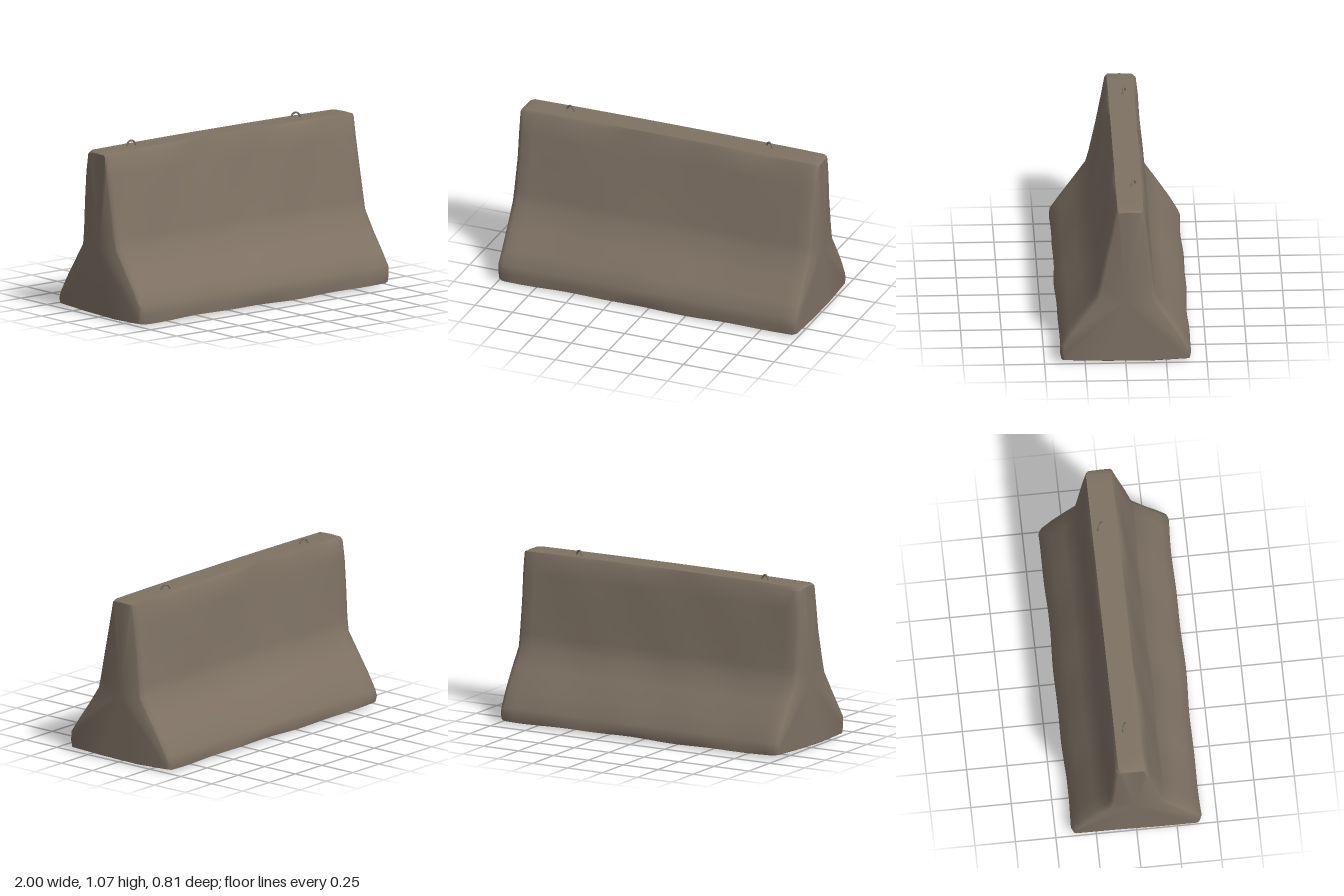
import * as THREE from 'three';
import { toCreasedNormals } from 'three/addons/utils/BufferGeometryUtils.js';

// Cross-section [z, y]: up the front, over the top, down the back, along the base
const PROFILE = [
  [0.395, 0.02], [0.402, 0.07], [0.398, 0.13], [0.345, 0.21], [0.265, 0.325], [0.182, 0.45], [0.165, 0.52],
  [0.125, 0.72], [0.09, 0.89], [0.062, 1.02], [0.05, 1.038],
  [-0.03, 1.04], [-0.11, 1.038], [-0.123, 1.015], [-0.138, 0.9], [-0.153, 0.72], [-0.171, 0.53], [-0.182, 0.44],
  [-0.255, 0.33], [-0.335, 0.205], [-0.39, 0.105], [-0.402, 0.065], [-0.395, 0.024],
  [-0.15, 0.012], [0.15, 0.012],
];

// Worn, slightly wavy surface
const wave = (x, y, s) =>
  0.004 * Math.sin(5.3 * x + 4 * y + s) + 0.003 * Math.sin(11.7 * x - 7 * y + 2.3 * s);

function barrierGeometry() {
  const stations = [[-0.996, 0.022], [-0.99, 0.012], [-0.965, 0]];
  for (let i = 1; i < 28; i++) stations.push([-0.965 + (1.93 * i) / 28, 0]);
  stations.push([0.965, 0], [0.99, 0.012], [0.996, 0.022]);

  const n = PROFILE.length;
  const pos = [];
  const index = [];
  for (const [x, inset] of stations) {
    for (const [z, y] of PROFILE) {
      const side = z > 0 ? 1 : -1;
      const top = y > 1.03;
      const base = y < 0.03;
      const flat = top || base;
      const dz = flat ? 0 : wave(x, y, side);
      const dy = top ? 0.007 * (1 - x * x) - 0.003 : base ? 0.8 * wave(x, z, 2) : 0;
      const pull = top || base ? 0.4 * inset * (top ? -1 : 1) : 0;
      pos.push(
        x + Math.sign(x) * (Math.abs(x) > 0.98 ? 0.6 * wave(y, z, x) : 0),
        Math.max(0, y + dy + pull),
        z + dz - side * inset * Math.min(1, Math.abs(z) * 10),
      );
    }
  }
  for (let i = 0; i < stations.length - 1; i++) {
    for (let j = 0; j < n; j++) {
      const a = i * n + j;
      const d = i * n + ((j + 1) % n);
      index.push(a, a + n, d + n, a, d + n, d);
    }
  }
  // End faces
  for (const [ring, x] of [[0, -1], [stations.length - 1, 1]]) {
    const c = pos.length / 3;
    pos.push(x * 0.999, 0.43, -0.005);
    for (let j = 0; j < n; j++) {
      const a = ring * n + j;
      const b = ring * n + ((j + 1) % n);
      if (x > 0) index.push(c, b, a);
      else index.push(c, a, b);
    }
  }
  const geometry = new THREE.BufferGeometry();
  geometry.setAttribute('position', new THREE.Float32BufferAttribute(pos, 3));
  geometry.setIndex(index);
  return toCreasedNormals(geometry, 0.75);
}

// Bent steel bar standing on the top face
function loopGeometry() {
  const points = [[-0.034, -0.02], [-0.029, 0.015], [-0.014, 0.033], [0.006, 0.034], [0.022, 0.018], [0.034, -0.02]];
  const curve = new THREE.CatmullRomCurve3(points.map(([x, y]) => new THREE.Vector3(x, y, 0)));
  return new THREE.TubeGeometry(curve, 16, 0.006, 6);
}

export function createModel() {
  const concrete = new THREE.MeshStandardMaterial({ color: 0x7f7264 });
  concrete.name = 'concrete';
  const group = new THREE.Group();
  group.name = 'barrier';

  const body = new THREE.Mesh(barrierGeometry(), concrete);
  body.name = 'barrierBody';
  group.add(body);

  // Lifting loops
  const loop = loopGeometry();
  for (const [name, x, z, turn] of [['rightLiftingLoop', -0.697, -0.047, -0.32], ['leftLiftingLoop', 0.627, -0.058, -0.5]]) {
    const mesh = new THREE.Mesh(loop, concrete);
    mesh.name = name;
    mesh.position.set(x, 1.034, z);
    mesh.rotation.y = turn;
    group.add(mesh);
  }
  return group;
}
